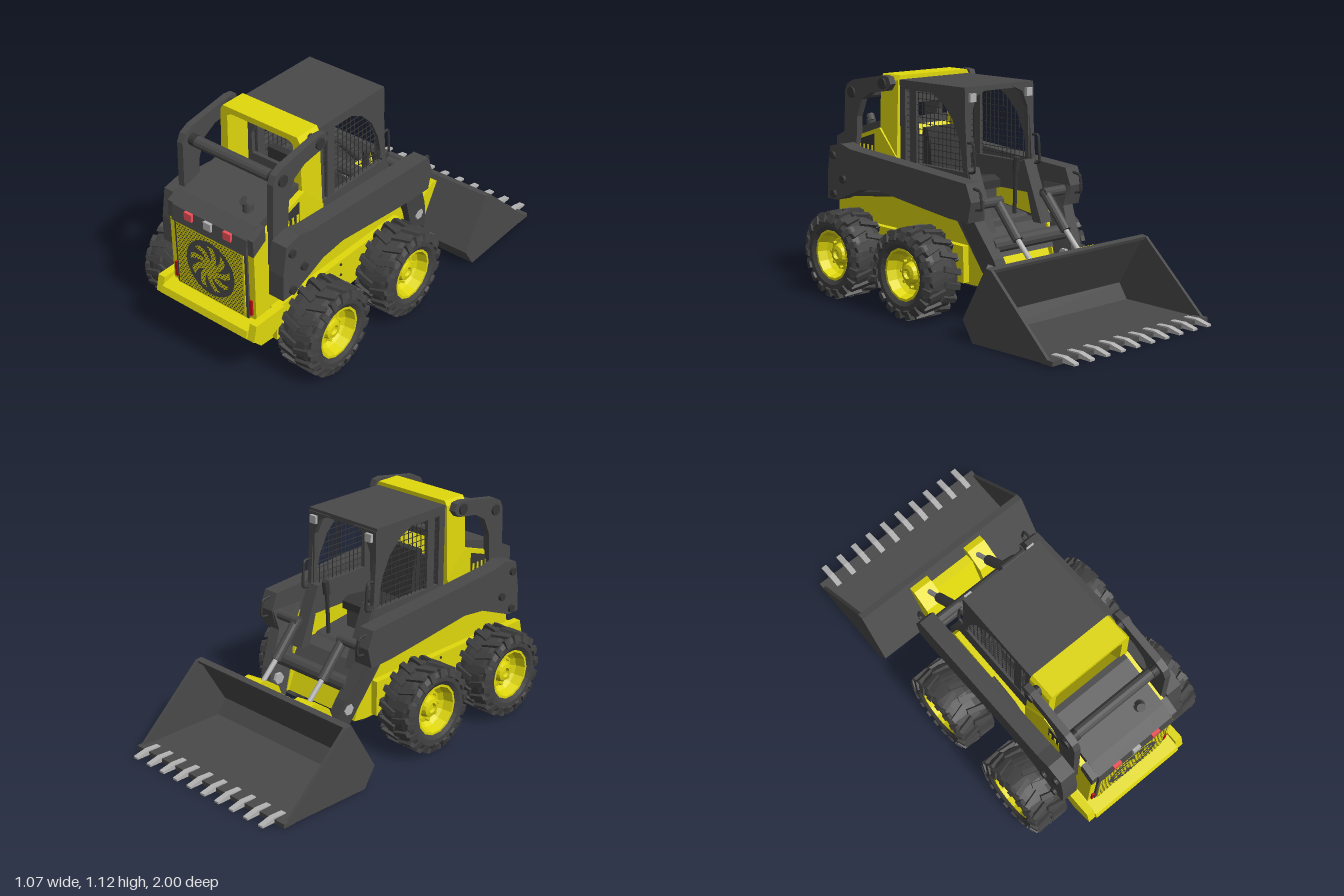
import * as THREE from 'three';
import { mergeGeometries } from 'three/addons/utils/BufferGeometryUtils.js';

const mat = (color) => new THREE.MeshStandardMaterial({ color, flatShading: true, side: THREE.DoubleSide });
const yellow = mat(0xe0d80c), dark = mat(0x4a4a4a), black = mat(0x363636), rubber = mat(0x424242);
const grey = mat(0xb4b4b4), red = mat(0xf05058), deepRed = mat(0xc01010);

// Side profile of [z, y] points, extruded from x0 to x1
function side(points, x0, x1, hole) {
  const toVec = ([z, y]) => new THREE.Vector2(-z, y);
  const shape = new THREE.Shape(points.map(toVec));
  if (hole) shape.holes.push(new THREE.Path(hole.map(toVec)));
  return new THREE.ExtrudeGeometry(shape, { depth: x1 - x0, bevelEnabled: false }).rotateY(Math.PI / 2).translate(x0, 0, 0);
}
// Rear-facing outline of [x, y] points, extruded from z0 to z1
function face(points, z0, z1, hole) {
  const toVec = ([x, y]) => new THREE.Vector2(x, y);
  const shape = new THREE.Shape(points.map(toVec));
  if (hole) shape.holes.push(new THREE.Path(hole.map(toVec)));
  return new THREE.ExtrudeGeometry(shape, { depth: z1 - z0, bevelEnabled: false }).translate(0, 0, z0);
}
// Box between two corners
const box = (x0, x1, y0, y1, z0, z1) => new THREE.BoxGeometry(x1 - x0, y1 - y0, z1 - z0)
  .translate((x0 + x1) / 2, (y0 + y1) / 2, (z0 + z1) / 2);
// Round bar between two points
function bar(a, b, r, sides = 12) {
  const p = new THREE.Vector3(...a), d = new THREE.Vector3(...b).sub(p);
  const g = new THREE.CylinderGeometry(r, r, d.length(), sides);
  g.applyQuaternion(new THREE.Quaternion().setFromUnitVectors(new THREE.Vector3(0, 1, 0), d.clone().normalize()));
  return g.translate(...p.addScaledVector(d, 0.5).toArray());
}
const tube = (pts, r) => new THREE.TubeGeometry(
  new THREE.CatmullRomCurve3(pts.map((p) => new THREE.Vector3(...p)), false, 'catmullrom', 0.2), 20, r, 6);
// Mirror in x, keeping faces outward
function mirrored(geo) {
  const g = geo.index ? geo.toNonIndexed() : geo.clone();
  g.scale(-1, 1, 1);
  const p = g.attributes.position, a = new THREE.Vector3(), b = new THREE.Vector3();
  for (let i = 0; i < p.count; i += 3) {
    a.fromBufferAttribute(p, i + 1); b.fromBufferAttribute(p, i + 2);
    p.setXYZ(i + 1, b.x, b.y, b.z); p.setXYZ(i + 2, a.x, a.y, a.z);
  }
  g.computeVertexNormals();
  return g;
}

function makeWheel() {
  const wheel = new THREE.Group();
  const lathe = (pts, n) => new THREE.LatheGeometry(pts.map((p) => new THREE.Vector2(...p)), n).rotateZ(-Math.PI / 2);
  const tyre = new THREE.Mesh(lathe([[0.125, -0.085], [0.15, -0.1], [0.18, -0.1], [0.2, -0.085], [0.208, -0.05],
    [0.208, 0.05], [0.2, 0.085], [0.18, 0.1], [0.15, 0.1], [0.125, 0.085]], 28), rubber);
  tyre.name = 'tyre';
  // Slanted tread lugs with a shoulder block, alternating sides
  const lugs = [];
  for (let i = 0; i < 36; i++) {
    const s = i % 2 ? 1 : -1, a = (i / 36) * Math.PI * 2;
    lugs.push(new THREE.BoxGeometry(0.095, 0.022, 0.026).rotateY(s * 0.3).translate(s * 0.042, 0.211, 0).rotateX(a));
    lugs.push(new THREE.BoxGeometry(0.022, 0.045, 0.03).rotateZ(s * 0.35).translate(s * 0.093, 0.19, s * 0.015).rotateX(a));
  }
  const tread = new THREE.Mesh(mergeGeometries(lugs), rubber);
  tread.name = 'treadLugs';
  const rim = new THREE.Mesh(lathe([[0, -0.03], [0.1, -0.03], [0.115, -0.09], [0.13, -0.09], [0.13, 0.088], [0.118, 0.088],
    [0.105, 0.04], [0.085, 0.02], [0.055, 0.025], [0.045, 0.055], [0.025, 0.06], [0.02, 0.045], [0, 0.045]], 14), yellow);
  rim.name = 'rim';
  const nuts = [];
  for (let i = 0; i < 8; i++) {
    const a = (i / 8) * Math.PI * 2;
    nuts.push(bar([0.015, 0.07 * Math.cos(a), 0.07 * Math.sin(a)], [0.04, 0.07 * Math.cos(a), 0.07 * Math.sin(a)], 0.008, 6));
  }
  const bolts = new THREE.Mesh(mergeGeometries(nuts), yellow);
  bolts.name = 'wheelNuts';
  wheel.add(tyre, tread, rim, bolts);
  return wheel;
}

export function createModel() {
  const model = new THREE.Group();
  model.name = 'bucketMachine';
  const add = (name, m, geo) => {
    const mesh = new THREE.Mesh(geo, m);
    mesh.name = name;
    model.add(mesh);
  };
  const both = (name, m, geo) => { add(name + 'Left', m, geo); add(name + 'Right', m, mirrored(geo)); };

  // Wheels and axles
  for (const z of [0.085, 0.643]) {
    for (const s of [1, -1]) {
      const w = makeWheel();
      w.name = (z > 0.3 ? 'rear' : 'front') + 'Wheel' + (s > 0 ? 'Left' : 'Right');
      w.position.set(s * 0.425, 0.225, z);
      if (s < 0) w.rotation.y = Math.PI;
      model.add(w);
    }
    both('axle', yellow, bar([0.24, 0.225, z], [0.41, 0.225, z], 0.075));
  }
  both('chainCase', yellow, box(0.24, 0.29, 0.18, 0.36, -0.1, 0.82));

  // Chassis, with side walls rising around the footwell
  add('chassis', yellow, side([[-0.1, 0.42], [-0.2, 0.18], [0.86, 0.18], [0.915, 0.33], [0.915, 0.42]], -0.24, 0.24));
  both('chassisSide', yellow, side([[-0.09, 0.57], [-0.125, 0.5], [-0.215, 0.18], [-0.14, 0.17], [0.86, 0.18], [0.915, 0.33],
    [0.915, 0.7], [0.86, 0.76], [0.57, 0.855], [0.44, 0.72], [0.44, 0.57]], 0.22, 0.255));
  add('engineBay', yellow, side([[0.44, 0.4], [0.915, 0.4], [0.915, 0.7], [0.86, 0.75], [0.57, 0.85], [0.44, 0.72]], -0.222, 0.222));
  add('bellyPlate', black, box(-0.25, 0.25, 0.163, 0.182, -0.17, 0.85));
  add('cabFloor', dark, side([[-0.12, 0.43], [-0.2, 0.3], [-0.18, 0.3], [0.0, 0.44], [0.44, 0.5], [0.44, 0.42]], -0.22, 0.22));
  for (const z of [0.25, 0.15, 0.05, -0.03]) both('sideSlot', black, box(0.25, 0.26, 0.5, 0.525, z - 0.035, z + 0.035));
  for (const y of [0.22, 0.28, 0.34]) both('caseBolt', black, bar([0.28, y, 0.36], [0.295, y, 0.36], 0.007, 6));

  // Rear bumper
  add('rearBumper', yellow, side([[0.84, 0.35], [0.93, 0.335], [0.99, 0.325], [1, 0.29], [0.9, 0.185], [0.82, 0.18]], -0.265, 0.265));
  both('bumperEar', yellow, side([[0.78, 0.36], [0.97, 0.36], [0.99, 0.28], [0.88, 0.24], [0.78, 0.28]], 0.265, 0.305));

  // Perforated rear grille with fan
  add('grilleFrame', dark, box(-0.22, 0.22, 0.33, 0.7, 0.9, 0.925));
  add('grille', yellow, box(-0.205, 0.205, 0.34, 0.685, 0.91, 0.93));
  const holes = [];
  for (let r = 0; r < 27; r++) for (let c = 0; c < 23; c++) {
    holes.push(new THREE.PlaneGeometry(0.009, 0.006).translate(-0.195 + c * 0.0172 + (r % 2) * 0.0086, 0.35 + r * 0.0125, 0.9315));
  }
  add('grilleHoles', black, mergeGeometries(holes));
  add('fanRing', dark, new THREE.RingGeometry(0.122, 0.147, 32).translate(0, 0.515, 0.933));
  const blades = [];
  for (let i = 0; i < 9; i++) {
    const b = new THREE.Shape();
    b.moveTo(0.045, 0);
    b.quadraticCurveTo(0.1, 0.0, 0.125, 0.05);
    b.lineTo(0.095, 0.085);
    b.quadraticCurveTo(0.09, 0.03, 0.045, 0);
    blades.push(new THREE.ShapeGeometry(b, 5).rotateZ((i / 9) * Math.PI * 2).translate(0, 0.515, 0.933));
  }
  add('fanBlades', dark, mergeGeometries(blades));
  both('tailLight', deepRed, box(0.223, 0.238, 0.36, 0.44, 0.9, 0.925));

  // Hood, lamps and exhaust
  add('hood', dark, side([[0.935, 0.69], [0.925, 0.77], [0.86, 0.81], [0.6, 0.885], [0.57, 0.885], [0.57, 0.85], [0.85, 0.75],
    [0.9, 0.69]], -0.225, 0.225));
  both('hoodRim', dark, side([[0.92, 0.69], [0.92, 0.775], [0.84, 0.815], [0.84, 0.74]], 0.22, 0.258));
  both('rearLamp', red, box(0.095, 0.14, 0.73, 0.77, 0.92, 0.94));
  add('centreLamp', grey, box(-0.022, 0.022, 0.73, 0.77, 0.92, 0.94));
  add('exhaust', dark, bar([0.125, 0.78, 0.8], [0.125, 0.86, 0.8], 0.026));
  add('exhaustTip', dark, bar([0.125, 0.85, 0.795], [0.115, 0.88, 0.82], 0.022));
  both('sideVent', black, side([[0.81, 0.7], [0.81, 0.755], [0.61, 0.82], [0.61, 0.7]], 0.25, 0.258));
  for (let i = 0; i < 6; i++) both('ventSlat', yellow, box(0.25, 0.262, 0.7, 0.76, 0.62 + i * 0.032, 0.632 + i * 0.032));

  // Yellow rear arch of the cab
  add('rearArch', yellow, face([[-0.255, 0.55], [-0.235, 1.1], [-0.22, 1.125], [0.22, 1.125], [0.235, 1.1], [0.255, 0.55]], 0.44, 0.575,
    [[-0.205, 0.6], [0.205, 0.6], [0.195, 1.08], [0.17, 1.095], [-0.17, 1.095], [-0.195, 1.08]]));

  // Cab: roof, side frames with mesh, rear and front frames
  add('cabRoof', dark, box(-0.225, 0.225, 1.08, 1.105, -0.04, 0.45));
  both('cabSide', dark, side([[0.44, 0.55], [0.44, 1.1], [-0.035, 1.1], [-0.06, 0.7], [-0.1, 0.55]], 0.2, 0.225,
    [[0.4, 0.7], [0.4, 1.06], [0.2, 1.06], [0.12, 1.02], [0.05, 0.95], [0.0, 0.85], [-0.035, 0.7]]));
  both('cabSidePost', dark, box(0.203, 0.222, 0.68, 1.08, 0.32, 0.37));
  const wires = [];
  for (let z = -0.02; z < 0.4; z += 0.03) wires.push(box(0.211, 0.214, 0.69, 1.08, z, z + 0.003));
  for (let y = 0.72; y < 1.06; y += 0.03) wires.push(box(0.211, 0.214, y, y + 0.003, -0.03, 0.41));
  both('sideMesh', black, mergeGeometries(wires));
  add('cabRear', dark, face([[-0.21, 0.55], [-0.21, 1.09], [0.21, 1.09], [0.21, 0.55]], 0.42, 0.44,
    [[-0.175, 0.82], [0.175, 0.82], [0.175, 0.93], [0.15, 0.985], [-0.15, 0.985], [-0.175, 0.93]]));
  both('frontGusset', dark, face([[0.225, 1.09], [0.08, 1.09], [0.15, 1.06], [0.185, 0.98], [0.195, 0.72], [0.225, 0.72]], -0.045, -0.02));
  both('kneePanel', dark, side([[-0.04, 0.72], [-0.06, 0.72], [-0.18, 0.42], [-0.12, 0.42]], 0.15, 0.222));
  both('workLight', grey, box(0.165, 0.205, 1.035, 1.075, -0.06, -0.04));
  both('cabHandle', black, tube([[0.215, 0.84, -0.04], [0.215, 0.84, -0.09], [0.215, 0.71, -0.1], [0.215, 0.7, -0.06]], 0.007));

  // Seat and controls
  add('seatBase', dark, box(-0.13, 0.13, 0.46, 0.58, 0.12, 0.38));
  add('seatCushion', black, side([[0.08, 0.57], [0.08, 0.61], [0.12, 0.63], [0.36, 0.6], [0.36, 0.57]], -0.12, 0.12));
  add('seatBack', black, side([[0.31, 0.6], [0.36, 0.86], [0.4, 0.86], [0.39, 0.6]], -0.115, 0.115));
  both('controlLever', black, bar([0.16, 0.44, 0.02], [0.15, 0.68, 0], 0.01, 8));
  both('leverGrip', black, bar([0.15, 0.66, 0], [0.15, 0.73, -0.01], 0.018, 8));

  // Lift arms, sloping inward at the front legs
  both('liftArm', dark, side([[0.86, 0.47], [0.855, 0.6], [0.83, 0.745], [0.74, 0.765], [0.66, 0.745], [-0.21, 0.685], [-0.245, 0.6],
    [-0.22, 0.5], [-0.09, 0.505], [0.1, 0.525], [0.44, 0.565], [0.58, 0.55], [0.78, 0.47]], 0.285, 0.37));
  const leg = side([[-0.06, 0.6], [-0.09, 0.505], [-0.25, 0.18], [-0.31, 0.1], [-0.36, 0.14], [-0.37, 0.17], [-0.31, 0.33],
    [-0.22, 0.5], [-0.24, 0.6]], 0.28, 0.345);
  const lp = leg.attributes.position;
  for (let i = 0; i < lp.count; i++) lp.setX(i, lp.getX(i) - Math.max(0, 0.58 - lp.getY(i)) * 0.22);
  both('armLeg', dark, leg);
  add('armCrossTube', dark, bar([-0.25, 0.38, -0.25], [0.25, 0.38, -0.25], 0.038));
  for (const [z, y] of [[0.8, 0.7], [0.72, 0.585], [0.8, 0.5]]) both('armPin', black, bar([0.26, y, z], [0.385, y, z], 0.02));
  both('legPort', grey, bar([0.2, 0.275, -0.28], [0.283, 0.275, -0.28], 0.03, 6));
  both('legPin', black, bar([0.16, 0.145, -0.33], [0.26, 0.145, -0.33], 0.022));
  both('armHandle', black, tube([[0.33, 0.66, -0.22], [0.33, 0.65, -0.265], [0.33, 0.57, -0.275], [0.33, 0.56, -0.23]], 0.007));

  // Rear uprights joined by a cross tube
  both('upright', dark, side([[0.825, 0.6], [0.81, 1.02], [0.79, 1.06], [0.74, 1.085], [0.5, 1.125], [0.455, 1.12], [0.44, 1.085],
    [0.47, 1.05], [0.6, 1.03], [0.67, 0.99], [0.71, 0.9], [0.73, 0.6]], 0.25, 0.285));
  add('uprightCrossTube', dark, bar([-0.27, 1.012, 0.745], [0.27, 1.012, 0.745], 0.029));
  for (const [z, y] of [[0.75, 1.02], [0.5, 1.085]]) both('uprightPin', black, bar([0.22, y, z], [0.295, y, z], 0.028));
  both('liftCylinder', dark, bar([0.268, 0.5, 0.78], [0.268, 0.58, 0.2], 0.024));

  // Bucket tilt cylinders
  both('tiltCylinder', dark, bar([0.16, 0.58, -0.19], [0.16, 0.41, -0.34], 0.026));
  both('tiltRod', grey, bar([0.16, 0.43, -0.32], [0.16, 0.32, -0.43], 0.013));
  both('tiltMount', dark, bar([0.14, 0.575, -0.2], [0.29, 0.575, -0.2], 0.025));

  // Quick coupler
  both('couplerBracket', yellow, side([[-0.3, 0.13], [-0.36, 0.29], [-0.46, 0.35], [-0.5, 0.34], [-0.36, 0.09]], 0.12, 0.23));
  add('couplerPlate', yellow, side([[-0.345, 0.13], [-0.42, 0.3], [-0.47, 0.3], [-0.36, 0.1]], -0.13, 0.13));

  // Bucket: bent shell, side walls, cutting edge and teeth
  add('bucketShell', dark, side([[-0.93, 0.012], [-0.42, 0], [-0.355, 0.1], [-0.51, 0.365], [-0.545, 0.36], [-0.54, 0.345],
    [-0.525, 0.345], [-0.38, 0.1], [-0.43, 0.024], [-0.93, 0.024]], -0.515, 0.515));
  both('bucketSide', dark, side([[-0.92, 0.012], [-0.42, 0], [-0.355, 0.1], [-0.51, 0.365], [-0.545, 0.36]], 0.505, 0.522));
  add('cuttingEdge', dark, box(-0.522, 0.522, 0.008, 0.03, -0.93, -0.86));
  for (let i = 0; i < 10; i++) {
    const x = -0.444 + i * 0.0987;
    add('bucketTooth', grey, side([[-0.86, 0.012], [-0.86, 0.035], [-0.93, 0.038], [-1, 0.022], [-1, 0.012]], x - 0.015, x + 0.015));
  }
  return model;
}
